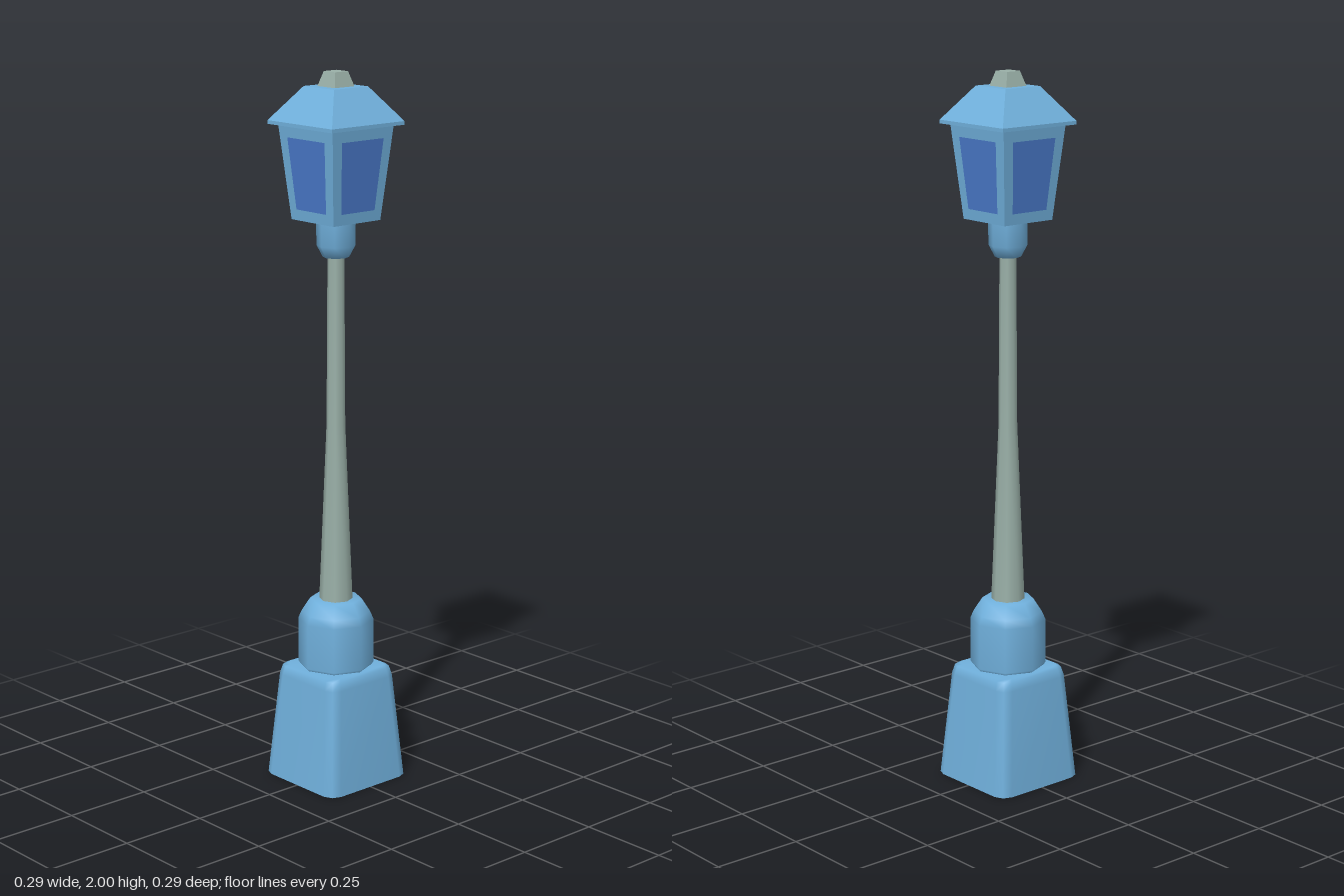
import * as THREE from 'three';

const blue = new THREE.MeshStandardMaterial({ color: 0x70b0dc, side: THREE.DoubleSide });
const blueFlat = new THREE.MeshStandardMaterial({ color: 0x70b0dc, flatShading: true });
const greyGreen = new THREE.MeshStandardMaterial({ color: 0x9ab0a8 });
const greyFlat = new THREE.MeshStandardMaterial({ color: 0x9ab0a8, flatShading: true });
const glass = new THREE.MeshStandardMaterial({ color: 0x4a7acb, flatShading: true });

function add(parent, name, geometry, material) {
  const mesh = new THREE.Mesh(geometry, material);
  mesh.name = name;
  parent.add(mesh);
  return mesh;
}

// Square frustum given by half-widths at heights y0 and y1
function frustum(h0, y0, h1, y1) {
  const g = new THREE.CylinderGeometry(h1 * Math.SQRT2, h0 * Math.SQRT2, y1 - y0, 4);
  return g.rotateY(Math.PI / 4).translate(0, (y0 + y1) / 2, 0);
}

// Eight-sided turned part, smooth around, from [radius, y] pairs
function turned(profile) {
  return new THREE.LatheGeometry(profile.map(([r, y]) => new THREE.Vector2(r, y)), 8);
}

// Loft of squares with bevelled corners, from [halfWidth, y, corner] sections; closed on top
function bevelledLoft(sections) {
  const pos = [], index = [], n = 12;
  for (const [h, y, c] of sections) {
    for (let k = 0; k < n; k++) {
      const side = Math.floor(k / 3);
      const a = side * Math.PI / 2 + (k % 3) * Math.PI / 4;
      const m = Math.PI / 4 + side * Math.PI / 2;
      const d = (h - c) * Math.SQRT2;
      pos.push(Math.cos(m) * d + Math.cos(a) * c, y, Math.sin(m) * d + Math.sin(a) * c);
    }
  }
  const last = (sections.length - 1) * n;
  pos.push(0, sections[sections.length - 1][1], 0);
  for (let s = 0; s < sections.length - 1; s++) {
    for (let k = 0; k < n; k++) {
      const a = s * n + k, b = s * n + (k + 1) % n;
      index.push(a, a + n, b, b, a + n, b + n);
    }
  }
  for (let k = 0; k < n; k++) index.push(last + k, last + n, last + (k + 1) % n);
  const g = new THREE.BufferGeometry();
  g.setAttribute('position', new THREE.Float32BufferAttribute(pos, 3));
  g.setIndex(index);
  g.computeVertexNormals();
  return g;
}

export function createModel() {
  const group = new THREE.Group();
  group.name = 'streetLamp';

  // Tapered plinth, open underneath
  add(group, 'plinth', bevelledLoft([
    [0.147, 0, 0.035], [0.122, 0.3, 0.033], [0.115, 0.325, 0.03], [0.105, 0.33, 0.028],
  ]), blue);

  // Collar and post
  add(group, 'collar', turned([
    [0.1, 0.328], [0.106, 0.337], [0.106, 0.465], [0.096, 0.488], [0.072, 0.525], [0, 0.525],
  ]), blue);
  add(group, 'post', turned([[0.047, 0.52], [0.026, 1.03], [0.023, 1.51]]), greyGreen);

  // Neck below the lantern
  add(group, 'neck', turned([
    [0, 1.498], [0.036, 1.498], [0.053, 1.53], [0.054, 1.6],
  ]), blue);

  // Lantern housing with one flush pane on each side
  const lantern = new THREE.Group();
  lantern.name = 'lantern';
  group.add(lantern);
  const y0 = 1.6, y1 = 1.86, h0 = 0.085, h1 = 0.11;
  add(lantern, 'housing', frustum(h0, y0, h1, y1), blueFlat);
  const wallZ = (y) => h0 + (h1 - h0) * (y - y0) / (y1 - y0) + 0.001;
  for (let i = 0; i < 4; i++) {
    const g = new THREE.PlaneGeometry(1, 1);
    const p = g.attributes.position;
    for (let k = 0; k < 4; k++) {
      const top = p.getY(k) > 0;
      const y = top ? 1.825 : 1.63;
      p.setXYZ(k, Math.sign(p.getX(k)) * (top ? 0.075 : 0.06), y, wallZ(y));
    }
    g.computeVertexNormals();
    add(lantern, 'pane', g.rotateY(i * Math.PI / 2), glass);
  }

  // Roof with a thin eave, and the finial
  add(lantern, 'eave', frustum(0.13, 1.858, 0.13, 1.868), blueFlat);
  add(lantern, 'roof', frustum(0.13, 1.868, 0.061, 1.96), blueFlat);
  add(lantern, 'finial', frustum(0.035, 1.96, 0.023, 2), greyFlat);

  return group;
}
